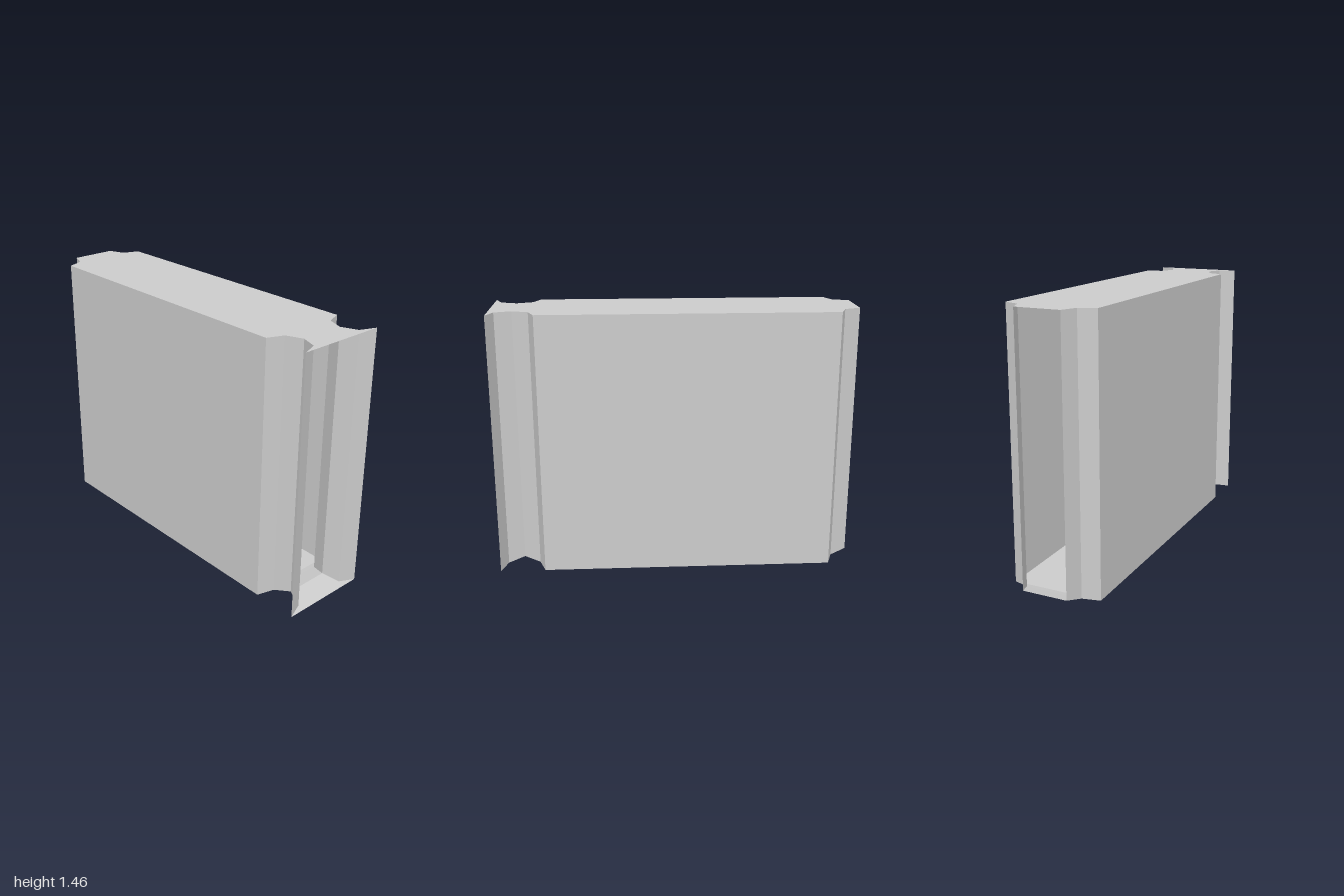
import * as THREE from 'three';

const HEIGHT = 1.46;

// Stations along the sleeve: [z, half width, floor height]
const STATIONS = [
  [-1, 0.125, 0.03],
  [-0.91, 0.16, 0.008],
  [-0.875, 0.25, 0],
  [0.75, 0.25, 0],
  [0.785, 0.16, 0.008],
  [0.875, 0.125, 0.03],
  [0.965, 0.16, 0.008],
  [1, 0.25, 0],
];

const material = new THREE.MeshStandardMaterial({
  color: 0xcccccc,
  flatShading: true,
  side: THREE.DoubleSide,
});

// Thin sheet stretched between two edges that both run from back to front
function sheet(name, edgeA, edgeB) {
  const positions = [];
  for (let i = 0; i < STATIONS.length - 1; i++) {
    const a0 = edgeA(...STATIONS[i]), a1 = edgeA(...STATIONS[i + 1]);
    const b0 = edgeB(...STATIONS[i]), b1 = edgeB(...STATIONS[i + 1]);
    positions.push(...a0, ...b0, ...b1, ...a0, ...b1, ...a1);
  }
  const geometry = new THREE.BufferGeometry();
  geometry.setAttribute('position', new THREE.Float32BufferAttribute(positions, 3));
  geometry.computeVertexNormals();
  const mesh = new THREE.Mesh(geometry, material);
  mesh.name = name;
  return mesh;
}

export function createModel() {
  const group = new THREE.Group();
  group.name = 'openSleeve';

  // The four long edges of the sleeve
  const floorLeft = (z, w, y) => [w, y, z];
  const floorRight = (z, w, y) => [-w, y, z];
  const topLeft = (z, w) => [w, HEIGHT, z];
  const topRight = (z, w) => [-w, HEIGHT, z];

  // Sheets wrap around the sleeve facing outward; both ends stay open
  group.add(
    sheet('leftWall', floorLeft, topLeft),
    sheet('top', topLeft, topRight),
    sheet('rightWall', topRight, floorRight),
    sheet('floor', floorRight, floorLeft),
  );
  return group;
}
